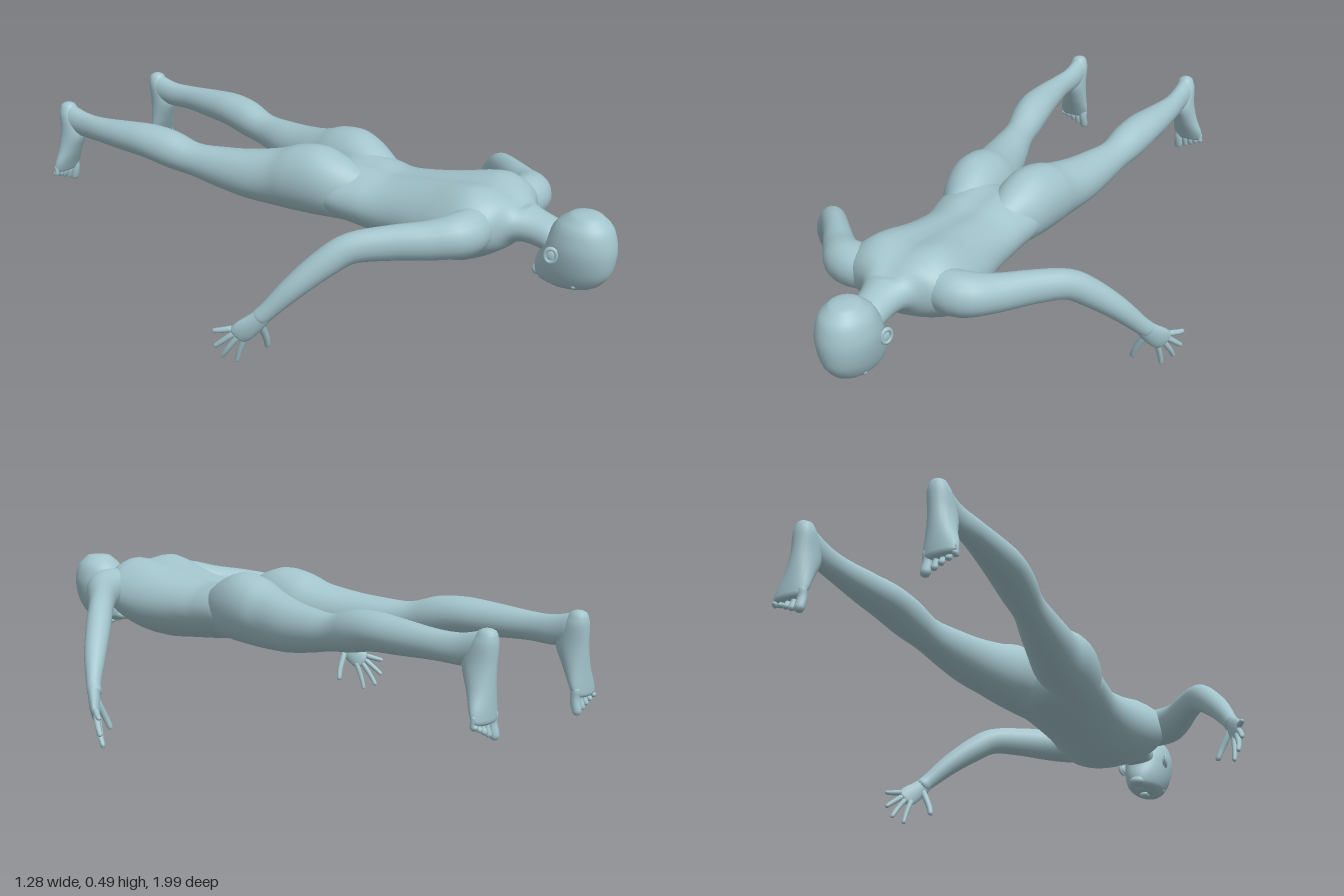
import * as THREE from 'three';

const skin = new THREE.MeshStandardMaterial({ color: 0xa3c4cc });
skin.name = 'pale blue skin';

// Smooth loft through sections [x, y, z, halfWidth, halfDepth] with rounded ends.
// side: direction of the width; axis: fixed section normal (else follows the path).
function loft(sections, { side = [1, 0, 0], axis = null, sides = 24, steps = 4, cap = 0.6 } = {}) {
  const path = new THREE.CatmullRomCurve3(sections.map(s => new THREE.Vector3(s[0], s[1], s[2])), false, 'catmullrom');
  const size = new THREE.CatmullRomCurve3(sections.map(s => new THREE.Vector3(s[3], s[4], 0)), false, 'catmullrom');
  const n = (sections.length - 1) * steps;
  const rings = [];
  const add = (t, shrink, push) => {
    const dir = axis ? new THREE.Vector3(...axis) : path.getTangent(t);
    const r = size.getPoint(t);
    const c = path.getPoint(t).addScaledVector(dir, push * Math.min(r.x, r.y) * cap);
    const u = new THREE.Vector3(...side);
    u.addScaledVector(dir, -u.dot(dir)).normalize();
    const v = new THREE.Vector3().crossVectors(dir, u);
    rings.push({ c, u, v, a: r.x * shrink, b: r.y * shrink });
  };
  const capAngles = [0.92, 0.7, 0.38].map(k => k * Math.PI / 2);
  capAngles.forEach(k => add(0, Math.cos(k), -Math.sin(k)));
  for (let i = 0; i <= n; i++) add(i / n, 1, 0);
  [...capAngles].reverse().forEach(k => add(1, Math.cos(k), Math.sin(k)));

  const pos = [], index = [];
  for (const { c, u, v, a, b } of rings) {
    for (let j = 0; j < sides; j++) {
      const q = j / sides * Math.PI * 2;
      const p = c.clone().addScaledVector(u, Math.cos(q) * a).addScaledVector(v, Math.sin(q) * b);
      pos.push(p.x, p.y, p.z);
    }
  }
  const last = rings.length - 1, pole = rings.length * sides;
  pos.push(...rings[0].c.toArray(), ...rings[last].c.toArray());
  for (let j = 0; j < sides; j++) {
    const k = (j + 1) % sides;
    for (let i = 0; i < last; i++) {
      const A = i * sides + j, B = i * sides + k;
      index.push(A, B, B + sides, A, B + sides, A + sides);
    }
    index.push(pole, k, j, pole + 1, last * sides + j, last * sides + k);
  }
  const g = new THREE.BufferGeometry();
  g.setAttribute('position', new THREE.Float32BufferAttribute(pos, 3));
  g.setIndex(index);
  g.computeVertexNormals();
  return g;
}

export function createModel() {
  const model = new THREE.Group();
  model.name = 'proneFigure';
  const put = (name, geometry) => {
    const m = new THREE.Mesh(geometry, skin);
    m.name = name;
    model.add(m);
    return m;
  };
  const blob = (name, p, r) => {
    const m = put(name, new THREE.SphereGeometry(1, 18, 12));
    m.position.set(...p);
    m.scale.set(...r);
    return m;
  };

  // Torso and neck, with a groove along the spine
  const torso = loft([
    [0, 0.385, 0.82, 0.052, 0.048], [0, 0.4, 0.75, 0.06, 0.05], [0, 0.405, 0.705, 0.085, 0.06],
    [0, 0.4, 0.67, 0.15, 0.085], [0, 0.389, 0.61, 0.19, 0.111], [0, 0.372, 0.54, 0.187, 0.122],
    [0, 0.36, 0.45, 0.17, 0.12], [0, 0.355, 0.35, 0.152, 0.107], [0, 0.353, 0.27, 0.15, 0.098],
    [0, 0.36, 0.2, 0.157, 0.097], [0, 0.365, 0.1, 0.165, 0.093], [0, 0.355, 0.03, 0.13, 0.075],
  ], { axis: [0, 0, -1], sides: 40 });
  const P = torso.attributes.position;
  for (let i = 0; i < P.count; i++) {
    const x = P.getX(i), y = P.getY(i), z = P.getZ(i);
    if (y < 0.4 || z > 0.72) continue;
    const blades = Math.exp(-(((z - 0.57) / 0.09) ** 2));
    P.setY(i, y - 0.012 * Math.exp(-((x / 0.035) ** 2)) + 0.014 * blades * Math.exp(-(((Math.abs(x) - 0.1) / 0.05) ** 2)));
  }
  torso.computeVertexNormals();
  put('torso', torso);

  // Head, face down
  put('head', loft([
    [0, 0.474, 0.905, 0.045, 0.05], [0, 0.445, 0.902, 0.071, 0.081], [0, 0.4, 0.897, 0.083, 0.1],
    [0, 0.36, 0.89, 0.082, 0.108], [0, 0.315, 0.876, 0.073, 0.112], [0, 0.28, 0.862, 0.06, 0.1],
    [0, 0.264, 0.855, 0.047, 0.084],
  ], { axis: [0, -1, 0], sides: 32, cap: 0.22 }));
  put('nose', loft([[0, 0.262, 0.885, 0.008, 0.008], [0, 0.25, 0.85, 0.012, 0.01], [0, 0.248, 0.835, 0.016, 0.01]], { sides: 12 }));
  blob('lips', [0, 0.263, 0.8, ], [0.024, 0.012, 0.011]);
  blob('chin', [0, 0.277, 0.772], [0.028, 0.018, 0.02]);

  for (const s of [1, -1]) {
    const which = s > 0 ? 'left' : 'right';
    const limb = (name, pts, o = {}) => {
      const [x, y, z] = o.side ?? [1, 0, 0];
      put(which + name, loft(pts.map(([px, ...rest]) => [px * s, ...rest]), { ...o, side: [x * s, y, z] }));
    };

    // Face details
    blob(which + 'Eye', [s * 0.032, 0.275, 0.882], [0.016, 0.012, 0.01]);
    blob(which + 'Brow', [s * 0.032, 0.278, 0.905], [0.024, 0.012, 0.01]);
    const ear = put(which + 'Ear', new THREE.TorusGeometry(0.018, 0.006, 8, 18));
    ear.position.set(s * 0.086, 0.37, 0.85);
    ear.rotation.set(0, s * 1.2, 0);
    ear.scale.set(0.9, 1.1, 1);
    const lobe = blob(which + 'EarBowl', [s * 0.082, 0.367, 0.85], [0.008, 0.018, 0.016]);
    lobe.rotation.y = s * -0.3;

    // Buttock, thigh and calf
    limb('Leg', [
      [0.075, 0.365, 0.19, 0.06, 0.08], [0.085, 0.382, 0.12, 0.083, 0.098], [0.093, 0.39, 0.05, 0.093, 0.11],
      [0.1, 0.383, -0.03, 0.095, 0.106], [0.11, 0.37, -0.1, 0.086, 0.093], [0.135, 0.363, -0.2, 0.076, 0.079],
      [0.155, 0.365, -0.3, 0.064, 0.066], [0.175, 0.373, -0.4, 0.052, 0.054], [0.189, 0.39, -0.49, 0.059, 0.061],
      [0.2, 0.401, -0.58, 0.06, 0.056], [0.209, 0.399, -0.68, 0.05, 0.05], [0.215, 0.395, -0.8, 0.036, 0.042],
      [0.212, 0.393, -0.88, 0.031, 0.043], [0.212, 0.402, -0.95, 0.032, 0.048],
    ], { axis: [0, 0, -1], sides: 28 });

    // Foot, pointing down, and toes
    limb('Foot', [
      [0.212, 0.442, -0.962, 0.026, 0.028], [0.213, 0.415, -0.955, 0.034, 0.039], [0.216, 0.36, -0.943, 0.037, 0.049],
      [0.222, 0.3, -0.955, 0.043, 0.037], [0.23, 0.25, -0.968, 0.052, 0.025], [0.233, 0.222, -0.975, 0.05, 0.018],
    ], { axis: [0, -1, 0] });
    for (let i = 0; i < 5; i++) {
      const r = i ? 0.0095 - i * 0.0005 : 0.014;
      const x = i ? 0.2 + i * 0.0195 : 0.194;
      const tip = 0.176 + i * 0.009 + (i ? 0 : 0.002);
      limb('Toe', [[x, 0.235, -0.974, r, r], [x, 0.21, -0.972, r, r], [x, tip, -0.98, r * 1.05, r]],
        { sides: 10, steps: 3, cap: 0.9 });
    }

    // Arm from shoulder to wrist
    limb('Arm', [
      [0.11, 0.4, 0.622, 0.06, 0.065], [0.185, 0.402, 0.622, 0.065, 0.065], [0.25, 0.392, 0.565, 0.052, 0.057],
      [0.32, 0.385, 0.48, 0.042, 0.051], [0.39, 0.37, 0.397, 0.039, 0.045], [0.44, 0.328, 0.345, 0.039, 0.042],
      [0.5, 0.26, 0.285, 0.034, 0.035], [0.548, 0.19, 0.232, 0.023, 0.027], [0.563, 0.165, 0.21, 0.022, 0.026],
    ], { side: [0.7, 0, 0.7], sides: 20 });

    // Hand with spread fingers
    const across = [0.55, 0.6, -0.55];
    limb('Palm', [
      [0.552, 0.185, 0.228, 0.024, 0.02], [0.57, 0.152, 0.203, 0.03, 0.018],
      [0.59, 0.122, 0.174, 0.035, 0.015], [0.599, 0.105, 0.158, 0.031, 0.012],
    ], { side: across, sides: 16 });
    const fingers = [
      ['Thumb', [0.558, 0.14, 0.208], [0.53, 0.085, 0.203], [0.518, 0.053, 0.197]],
      ['IndexFinger', [0.582, 0.095, 0.17], [0.587, 0.05, 0.153], [0.588, 0.015, 0.142]],
      ['MiddleFinger', [0.597, 0.098, 0.155], [0.609, 0.06, 0.13], [0.613, 0.03, 0.11]],
      ['RingFinger', [0.607, 0.108, 0.146], [0.622, 0.082, 0.118], [0.63, 0.066, 0.1]],
      ['LittleFinger', [0.611, 0.125, 0.142], [0.626, 0.118, 0.115], [0.633, 0.115, 0.1]],
    ];
    for (const [name, ...pts] of fingers) {
      const r = name === 'Thumb' ? 0.0115 : 0.0095;
      limb(name, pts.map((p, i) => [...p, r - i * 0.0012, r - i * 0.0012]),
        { side: [0.7, 0, 0.7], sides: 10, steps: 3, cap: 1 });
    }
  }
  return model;
}
